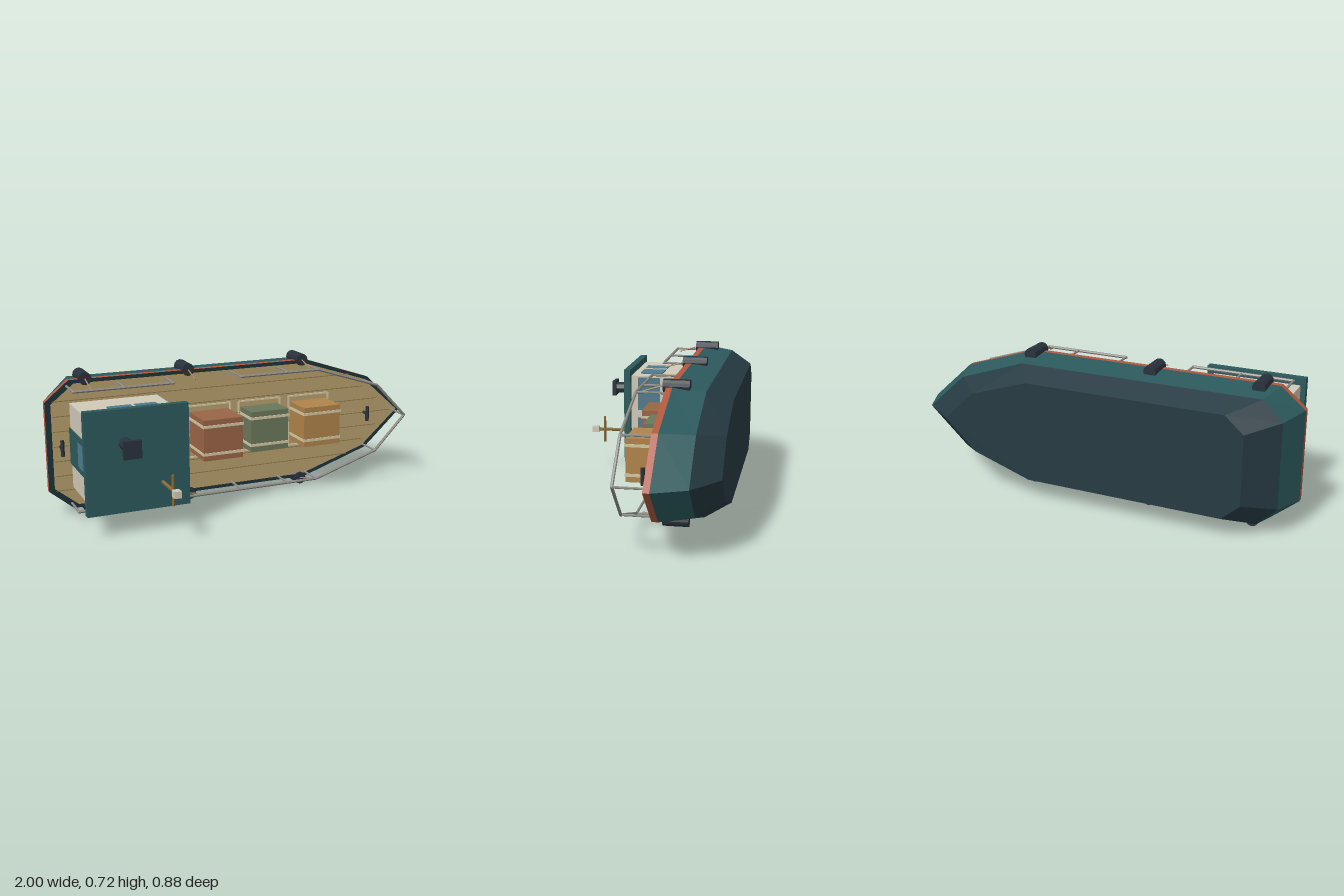
import * as THREE from 'three';

const CY = 0.36; // centre line of the boat; the deck faces +z
const DECK = -0.133;
const mats = {};
const mat = (c) => (mats[c] ??= new THREE.MeshStandardMaterial({ color: c, flatShading: true }));
const TEAL = 0x2c5a5d, SLATE = 0x263a42, RED = 0xb0583f, TAN = 0xb89f6d, CREAM = 0xd0cab8,
  GLASS = 0x4f7b8c, DARK = 0x28323b, STEEL = 0x8c8a84, WOOD = 0x8a6a35, STRAP = 0xd3c7a3;

// Half outline from stern to bow: [x, half width]
const sheer = [[-1, 0.225], [-0.88, 0.325], [0.4, 0.325], [0.78, 0.2], [1, 0]];
const chine = [[-0.94, 0.21], [-0.845, 0.305], [0.375, 0.305], [0.725, 0.185], [0.93, 0]];
const keel = [[-0.8, 0.172], [-0.71, 0.252], [0.29, 0.252], [0.59, 0.155], [0.76, 0]];

// Full counter-clockwise outline from a half outline
const ring = (half) => [
  ...half.map(([x, w]) => [x, CY - w]),
  ...half.slice(0, -1).reverse().map(([x, w]) => [x, CY + w]),
];

function add(parent, name, geo, color, x = 0, y = 0, z = 0) {
  const m = new THREE.Mesh(geo, mat(color));
  m.name = name;
  m.position.set(x, y, z);
  parent.add(m);
  return m;
}

// Box given by its limits on each axis
function box(parent, name, color, x0, x1, y0, y1, z0, z1) {
  return add(parent, name, new THREE.BoxGeometry(x1 - x0, y1 - y0, z1 - z0), color,
    (x0 + x1) / 2, (y0 + y1) / 2, (z0 + z1) / 2);
}

// Round bar between two points
function bar(parent, name, color, a, b, r, sides = 6) {
  const p = new THREE.Vector3(...a), d = new THREE.Vector3(...b).sub(p);
  const m = add(parent, name, new THREE.CylinderGeometry(r, r, d.length(), sides), color);
  m.position.copy(p).addScaledVector(d, 0.5);
  m.quaternion.setFromUnitVectors(new THREE.Vector3(0, 1, 0), d.normalize());
  return m;
}

// Band of hull plating between an upper and a lower outline
function strake(upper, zu, lower, zl) {
  const a = ring(upper), b = ring(lower), pos = [];
  a.forEach((p, i) => {
    const j = (i + 1) % a.length;
    const A = [...p, zu], B = [...a[j], zu], C = [...b[j], zl], D = [...b[i], zl];
    pos.push(...D, ...C, ...B, ...D, ...B, ...A);
  });
  const g = new THREE.BufferGeometry();
  g.setAttribute('position', new THREE.Float32BufferAttribute(pos, 3));
  g.computeVertexNormals();
  return g;
}

const plate = (half) => new THREE.ShapeGeometry(new THREE.Shape(ring(half).map((p) => new THREE.Vector2(...p))));

function buildHull(g) {
  add(g, 'rubbingStrake', strake(sheer, -0.135, sheer, -0.165), RED);
  add(g, 'upperHull', strake(sheer, -0.165, chine, -0.32), TEAL);
  add(g, 'lowerHull', strake(chine, -0.32, keel, -0.44), SLATE);
  const bottom = add(g, 'hullBottom', plate(keel), SLATE, 0, 2 * CY, -0.44);
  bottom.rotation.x = Math.PI; // faces down
  add(g, 'gunwale', plate(sheer), 0x1d333a, 0, 0, -0.135);
  add(g, 'deck', plate(sheer.map(([x, w]) => [x * 0.972, w * 0.945])), TAN, 0, 0, DECK);
  // Seams between the planks
  for (let i = -3; i <= 3; i++) {
    const y = CY + i * 0.075, end = 0.93 - Math.abs(i) * 0.09;
    box(g, 'plankSeam', 0x8d7749, -0.965, end, y - 0.002, y + 0.002, DECK, DECK + 0.002);
  }
}

function buildCabin(g) {
  box(g, 'cabinWalls', CREAM, -0.88, -0.435, CY - 0.213, CY + 0.213, DECK, 0.195);
  box(g, 'cabinRoof', TEAL, -0.905, -0.4, CY - 0.25, CY + 0.25, 0.195, 0.23);
  for (const s of [-1, 1]) {
    const front = box(g, 'frontWindow', GLASS, -0.437, -0.43, -0.091, 0.091, 0.034, 0.157);
    front.position.y = CY + s * 0.113;
    const side = box(g, 'sideWindow', GLASS, -0.74, -0.5, -0.004, 0.004, 0.032, 0.155);
    side.position.y = CY + s * 0.215;
    const divider = box(g, 'windowDivider', CREAM, -0.625, -0.615, -0.004, 0.004, 0.028, 0.16);
    divider.position.y = CY + s * 0.219;
  }
  box(g, 'door', TEAL, -0.887, -0.878, CY - 0.09, CY + 0.09, DECK, 0.14);
  box(g, 'doorWindow', GLASS, -0.89, -0.885, CY - 0.06, CY + 0.06, 0.035, 0.12);

  // Funnel
  bar(g, 'funnel', DARK, [-0.715, 0.447, 0.23], [-0.715, 0.447, 0.34], 0.031, 8);
  box(g, 'funnelCap', DARK, -0.758, -0.672, 0.405, 0.49, 0.336, 0.355);

  // Mast with cross bar and lamp
  bar(g, 'mast', WOOD, [-0.535, 0.237, 0.23], [-0.535, 0.237, 0.41], 0.009);
  bar(g, 'mastCrossBar', WOOD, [-0.535, 0.163, 0.371], [-0.535, 0.312, 0.371], 0.007);
  box(g, 'mastLamp', CREAM, -0.552, -0.518, 0.22, 0.254, 0.404, 0.441);

  // Lifebuoy on the cabin side
  const buoy = add(g, 'lifebuoy', new THREE.TorusGeometry(0.073, 0.015, 8, 20), RED, -0.735, 0.118, -0.003);
  buoy.rotation.x = Math.PI / 2;
}

function buildCrate(g, x, top, color) {
  const crate = new THREE.Group();
  crate.name = 'crate';
  g.add(crate);
  const h = 0.105;
  box(crate, 'crateBody', color, x - h, x + h, CY - h, CY + h, DECK, top);
  for (const s of [-1, 1]) {
    const y = CY + s * 0.071;
    box(crate, 'crateStrap', STRAP, x - h - 0.004, x + h + 0.004, y - 0.007, y + 0.007, DECK, top + 0.004);
    // Lashing frame on the deck
    const e = 0.118, w = 0.135;
    box(crate, 'lashingFrameEnd', STRAP, x + s * e - 0.004, x + s * e + 0.004, CY - w, CY + w, DECK, DECK + 0.008);
    box(crate, 'lashingFrameSide', STRAP, x - e, x + e, CY + s * w - 0.004, CY + s * w + 0.004, DECK, DECK + 0.008);
  }
}

// Handrail along a path of [x, offset], with a post at each listed point
function buildRail(g, path, posts) {
  const z = 0.006, r = 0.0075;
  const rail = new THREE.Group();
  rail.name = 'handrail';
  g.add(rail);
  path.forEach(([x, o], i) => {
    add(rail, 'railJoint', new THREE.IcosahedronGeometry(r, 1), STEEL, x, CY + o, z);
    if (i) bar(rail, 'railBar', STEEL, [path[i - 1][0], CY + path[i - 1][1], z], [x, CY + o, z], r);
  });
  for (const [x, o] of posts) bar(rail, 'railPost', STEEL, [x, CY + o, DECK], [x, CY + o, z], 0.006);
}

export function createModel() {
  const g = new THREE.Group();
  g.name = 'cargoBoat';
  buildHull(g);
  buildCabin(g);

  buildCrate(g, -0.157, 0.064, 0x9a6546);
  buildCrate(g, 0.127, 0.004, 0x6b775c);
  buildCrate(g, 0.415, 0.034, 0xb0844a);

  const w = 0.297;
  for (const s of [-1, 1]) {
    buildRail(g, [[-0.89, s * w], [-0.393, s * w]], [-0.89, -0.64, -0.393].map((x) => [x, s * w]));
    const start = s > 0 ? -0.035 : -0.35;
    const posts = [start, 0.23, 0.4].map((x) => [x, s * w]);
    if (s < 0) posts.push([-0.035, -w]);
    buildRail(g, [[start, s * w], [0.4, s * w], [0.76, s * 0.182], [0.938, 0]], [...posts, [0.76, s * 0.182]]);

    // Fenders hung on ropes
    for (const x of [-0.8, -0.27, 0.37]) {
      const y = CY + s * 0.328;
      bar(g, 'fender', DARK, [x, y, -0.246], [x, y, -0.119], 0.032, 12);
      bar(g, 'fenderRope', 0xa08c62, [x, y, -0.125], [x, CY + s * w, -0.02], 0.0035, 5);
    }
  }
  bar(g, 'bowPost', STEEL, [0.938, CY, DECK], [0.938, CY, 0.006], 0.006);

  // Mooring cleats
  for (const x of [-0.932, 0.765]) {
    bar(g, 'cleatBar', DARK, [x, CY - 0.04, -0.095], [x, CY + 0.04, -0.095], 0.01);
    bar(g, 'cleatFoot', DARK, [x, CY, DECK], [x, CY, -0.095], 0.009);
  }
  return g;
}
